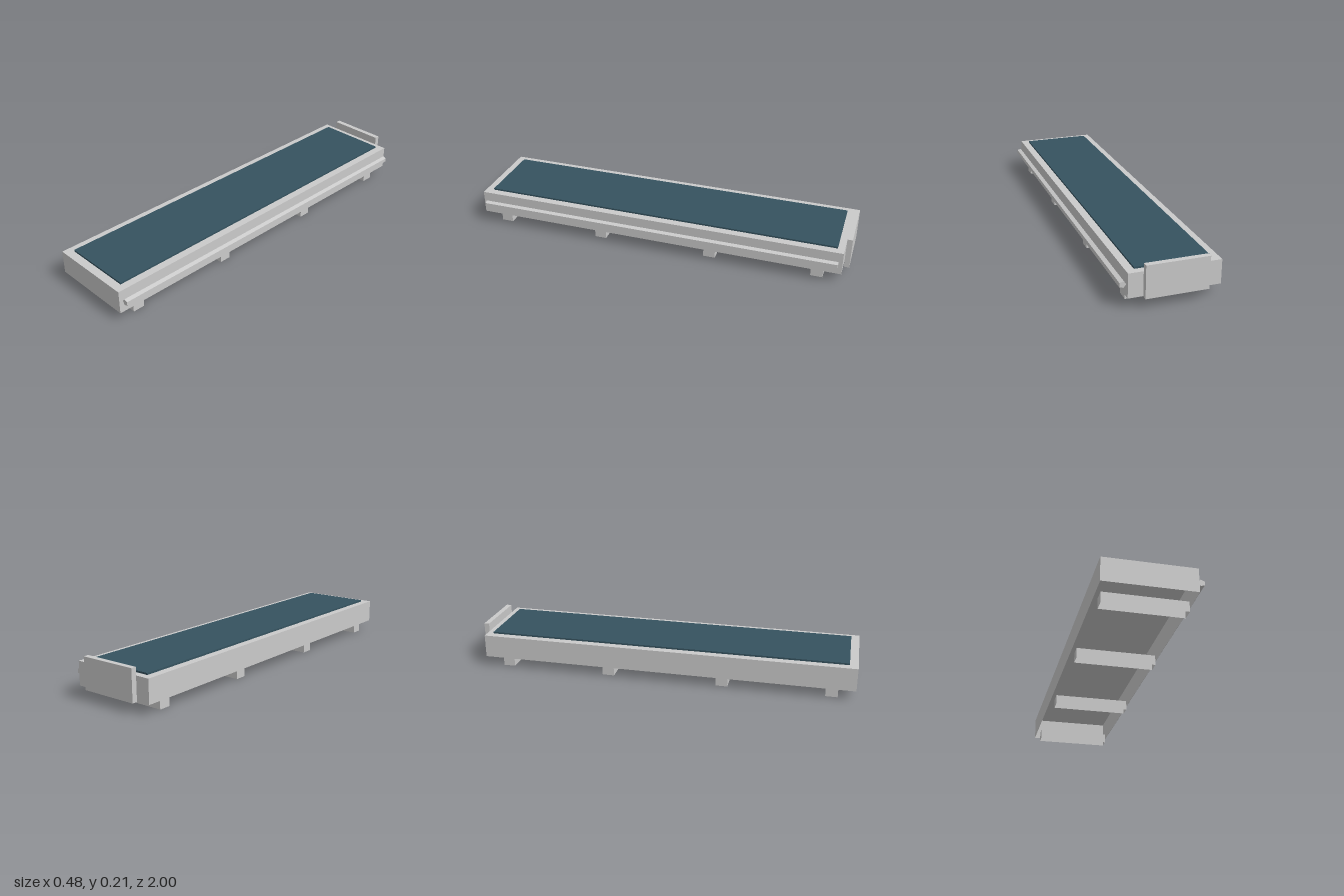
import * as THREE from 'three';

const grey = new THREE.MeshStandardMaterial({ color: 0xcacaca, side: THREE.DoubleSide, flatShading: true });
grey.name = 'light grey';
const teal = new THREE.MeshStandardMaterial({ color: 0x35525f, side: THREE.DoubleSide, flatShading: true });
teal.name = 'dark teal';

// Box between two corners, open underneath
function openBox(name, material, [x0, y0, z0], [x1, y1, z1]) {
  const geometry = new THREE.BoxGeometry(x1 - x0, y1 - y0, z1 - z0);
  const index = Array.from(geometry.index.array);
  index.splice(18, 6); // drop the downward face
  geometry.setIndex(index);
  geometry.clearGroups();
  const mesh = new THREE.Mesh(geometry, material);
  mesh.position.set((x0 + x1) / 2, (y0 + y1) / 2, (z0 + z1) / 2);
  mesh.name = name;
  return mesh;
}

export function createModel() {
  const model = new THREE.Group();
  model.name = 'conveyor';

  // Long hollow bed with the belt on top
  model.add(openBox('bed', grey, [-0.239, 0.052, -0.97], [0.207, 0.173, 1]));
  model.add(openBox('belt', teal, [-0.199, 0.173, -0.935], [0.167, 0.182, 0.957]));

  // Upright stop plate at the back end
  model.add(openBox('endStop', grey, [-0.168, 0.052, -1], [0.136, 0.214, -0.973]));

  // Cross feet
  for (const z of [0.881, 0.321, -0.287, -0.848]) {
    model.add(openBox('foot', grey, [-0.218, 0, z - 0.031], [0.187, 0.052, z + 0.031]));
  }

  // Five-sided side rail, one corner touching the bed
  const railGeometry = new THREE.CylinderGeometry(0.0172, 0.0172, 1.93, 5);
  railGeometry.rotateY(-Math.PI / 2);
  railGeometry.rotateX(Math.PI / 2);
  const rail = new THREE.Mesh(railGeometry, grey);
  rail.position.set(0.2245, 0.113, 0.015);
  rail.name = 'sideRail';
  model.add(rail);

  return model;
}
